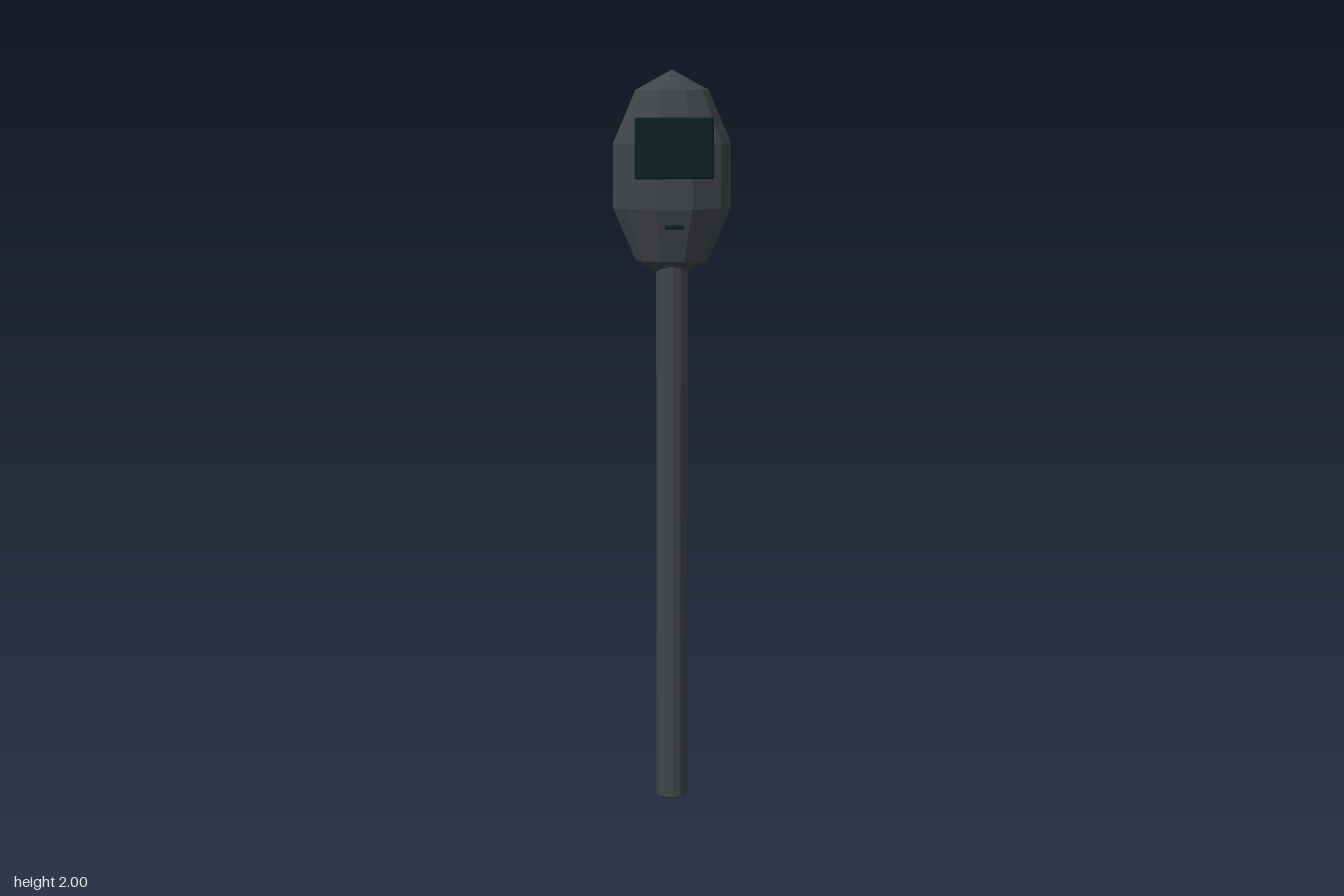
import * as THREE from 'three';
import { RoundedBoxGeometry } from 'three/addons/geometries/RoundedBoxGeometry.js';

const AXIS_Z = -0.02; // the head and pole sit slightly behind the centre

export function createModel() {
  const group = new THREE.Group();
  const bodyGrey = new THREE.MeshStandardMaterial({ color: 0x42464b });
  bodyGrey.name = 'bodyGrey';
  const screenDark = new THREE.MeshStandardMaterial({ color: 0x0b2222 });
  screenDark.name = 'screenDark';

  const add = (name, geometry, material, x, y, z) => {
    const mesh = new THREE.Mesh(geometry, material);
    mesh.name = name;
    mesh.position.set(x, y, z);
    group.add(mesh);
  };

  // Split the faces so each one is shaded flat
  const faceted = (geometry) => {
    const flat = geometry.toNonIndexed();
    flat.computeVertexNormals();
    return flat;
  };

  // Head: faceted ellipsoid, wider than deep
  const head = new THREE.SphereGeometry(1, 10, 5).scale(0.166, 0.28, 0.103);
  add('head', faceted(head), bodyGrey, 0, 1.72, AXIS_Z);

  // Pole with a small chamfer at the foot
  const profile = [[0, 0], [0.037, 0], [0.043, 0.006], [0.043, 1.494], [0.037, 1.5], [0, 1.5]];
  const pole = new THREE.LatheGeometry(profile.map(([r, y]) => new THREE.Vector2(r, y)), 12);
  add('pole', faceted(pole), bodyGrey, 0, 0, AXIS_Z);

  // Screen and the small slot floating beneath it
  add('screen', faceted(new RoundedBoxGeometry(0.208, 0.16, 0.025, 1, 0.005)), screenDark, 0, 1.795, 0.0845);
  add('slot', faceted(new RoundedBoxGeometry(0.052, 0.012, 0.021, 1, 0.005)), screenDark, 0, 1.59, 0.1005);

  return group;
}
